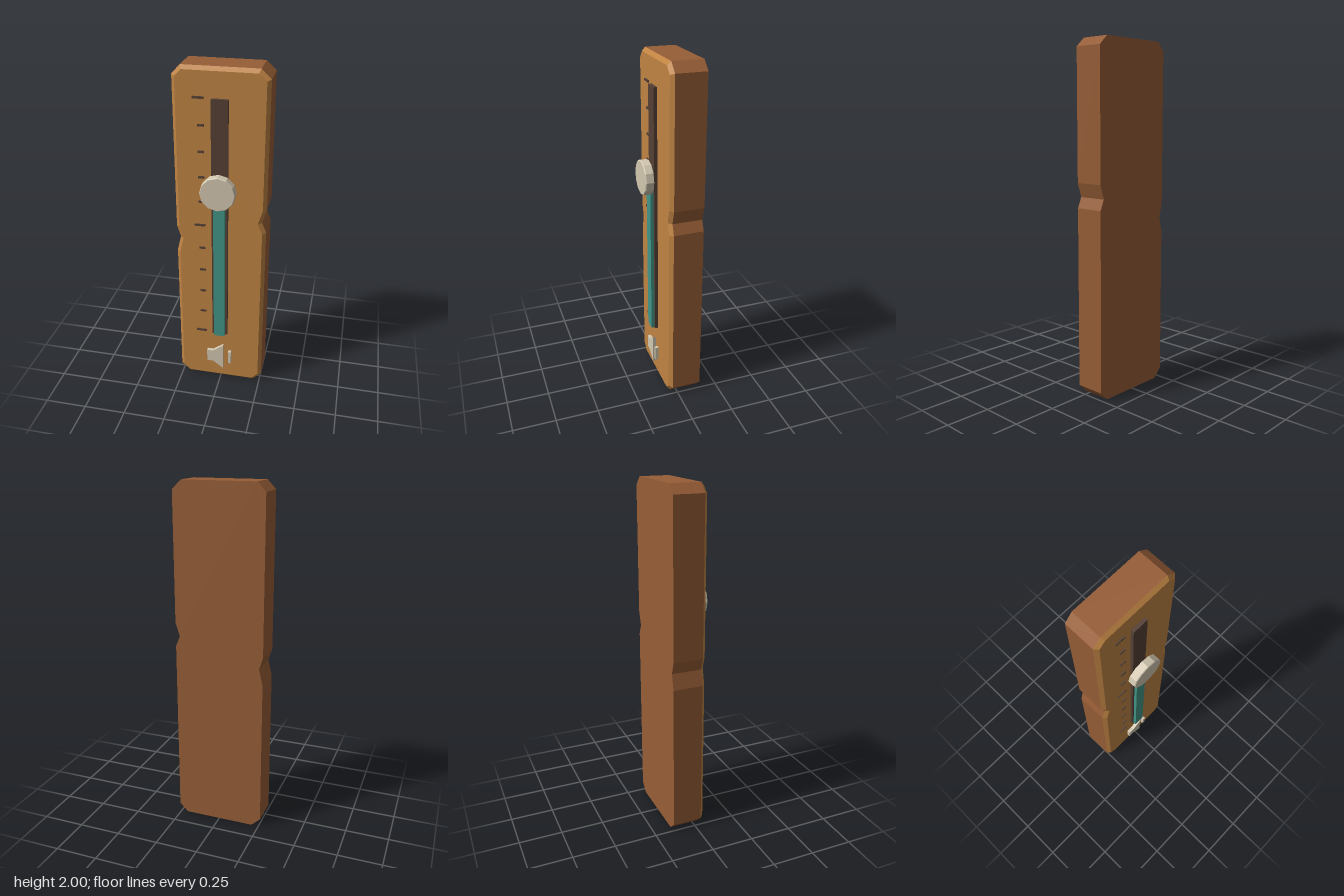
import * as THREE from 'three';

const mat = (name, color) => {
  const m = new THREE.MeshStandardMaterial({ color });
  m.name = name;
  return m;
};

// Move every edge of a counter-clockwise outline inward by d, with mitred corners
function inset(points, d) {
  return points.map((p, i) => {
    const n = points.length;
    const a = p.clone().sub(points[(i + n - 1) % n]).normalize();
    const b = points[(i + 1) % n].clone().sub(p).normalize();
    const na = new THREE.Vector2(-a.y, a.x);
    const nb = new THREE.Vector2(-b.y, b.x);
    return na.clone().add(nb).multiplyScalar(d / (1 + na.dot(nb))).add(p);
  });
}

// Flat band joining an outer outline at z0 to an inner outline at z1
function bevelBand(outer, inner, z0, z1) {
  const pos = [];
  outer.forEach((a, i) => {
    const j = (i + 1) % outer.length;
    const b = outer[j], c = inner[j], d = inner[i];
    pos.push(a.x, a.y, z0, b.x, b.y, z0, c.x, c.y, z1);
    pos.push(a.x, a.y, z0, c.x, c.y, z1, d.x, d.y, z1);
  });
  const g = new THREE.BufferGeometry();
  g.setAttribute('position', new THREE.Float32BufferAttribute(pos, 3));
  g.computeVertexNormals();
  return g;
}

export function createModel() {
  const model = new THREE.Group();
  model.name = 'volumeSlider';
  const sideWood = mat('dark wood', 0x965d36);
  const faceWood = mat('light wood', 0xc08443);
  const slotBrown = mat('slot brown', 0x554035);
  const teal = mat('teal', 0x439687);
  const cream = mat('cream', 0xd3c8b1);

  const add = (name, geometry, material, parent = model) => {
    const mesh = new THREE.Mesh(geometry, material);
    mesh.name = name;
    parent.add(mesh);
    return mesh;
  };
  const block = (name, x0, x1, y0, y1, z0, z1, material, parent) =>
    add(name, new THREE.BoxGeometry(x1 - x0, y1 - y0, z1 - z0), material, parent)
      .position.set((x0 + x1) / 2, (y0 + y1) / 2, (z0 + z1) / 2);
  const extrude = (points, depth) =>
    new THREE.ExtrudeGeometry(new THREE.Shape(points), { depth, bevelEnabled: false });
  const outline = (list) => list.map(([x, y]) => new THREE.Vector2(x, y));

  // Plank with clipped corners and a nick in each long edge
  const plank = outline([
    [-0.207, 0], [0.21, 0], [0.26, 0.05],
    [0.26, 1.08], [0.235, 1.14], [0.26, 1.22],
    [0.26, 1.95], [0.206, 2], [-0.213, 2], [-0.26, 1.95],
    [-0.26, 1.07], [-0.238, 1.0], [-0.26, 0.91], [-0.26, 0.05],
  ]);
  const face = inset(plank, 0.02);
  add('plank', extrude(plank, 0.174), sideWood).position.z = -0.14;
  add('faceBevel', bevelBand(plank, face, 0.034, 0.054), faceWood);
  add('face', new THREE.ShapeGeometry(new THREE.Shape(face)), faceWood).position.z = 0.054;

  // Track and its filled portion
  block('track', -0.046, 0.046, 0.355, 1.84, 0.05, 0.073, slotBrown);
  block('trackFill', -0.033, 0.033, 0.355, 1.335, 0.07, 0.092, teal);

  // Scale marks, longer at the ends and middle
  const marks = new THREE.Group();
  marks.name = 'scaleMarks';
  model.add(marks);
  for (let i = 0; i <= 10; i++) {
    const y = 0.359 + i * 0.1482;
    block('mark', i % 5 ? -0.122 : -0.148, -0.087, y - 0.006, y + 0.006, 0.052, 0.061, slotBrown, marks);
  }

  // Twelve-sided knob with a narrow front chamfer
  const knob = new THREE.Group();
  knob.name = 'knob';
  knob.position.set(0, 1.335, 0);
  model.add(knob);
  const disc = (name, front, back, z0, z1) => {
    const g = new THREE.CylinderGeometry(front, back, z1 - z0, 12).toNonIndexed();
    g.computeVertexNormals();
    g.rotateX(Math.PI / 2).translate(0, 0, (z0 + z1) / 2);
    add(name, g, cream, knob);
  };
  disc('knobBody', 0.1, 0.1, 0.09, 0.132);
  disc('knobChamfer', 0.096, 0.1, 0.132, 0.137);

  // Speaker symbol and its sound bar
  const speaker = outline([
    [-0.08, 0.14], [-0.042, 0.14], [0.022, 0.092],
    [0.022, 0.272], [-0.042, 0.222], [-0.08, 0.222],
  ]);
  add('speaker', extrude(speaker, 0.021), cream).position.z = 0.06;
  block('soundBar', 0.053, 0.072, 0.138, 0.225, 0.06, 0.081, cream);

  return model;
}
